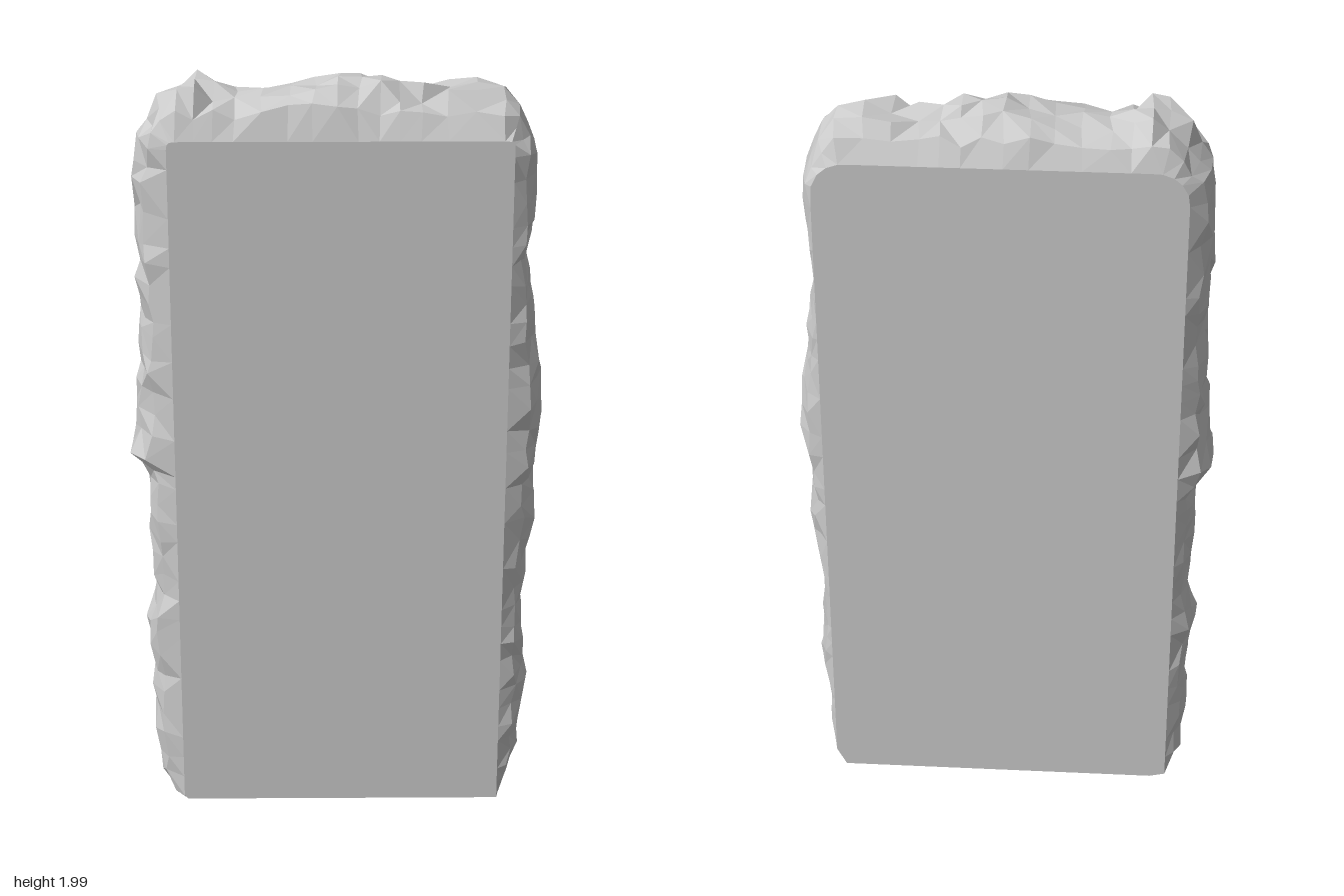
import * as THREE from 'three';

// Rough silhouette: up the -x side, over the top, down the +x side
const OUTLINE = [
  [-0.33, 0.03], [-0.40, 0.01], [-0.45, 0.04], [-0.48, 0.10], [-0.49, 0.22], [-0.485, 0.40], [-0.51, 0.52],
  [-0.475, 0.63], [-0.485, 0.80], [-0.49, 0.95], [-0.53, 1.02], [-0.51, 1.15], [-0.505, 1.30], [-0.495, 1.45],
  [-0.505, 1.60], [-0.505, 1.75], [-0.49, 1.85], [-0.44, 1.94], [-0.39, 1.98], [-0.30, 1.975], [-0.25, 1.96],
  [-0.12, 1.98], [0, 2.0], [0.10, 1.985], [0.20, 1.97], [0.33, 1.99], [0.40, 1.965], [0.44, 1.92], [0.48, 1.83],
  [0.48, 1.70], [0.465, 1.55], [0.485, 1.40], [0.50, 1.28], [0.52, 1.17], [0.51, 1.05], [0.50, 0.95],
  [0.505, 0.85], [0.485, 0.72], [0.48, 0.60], [0.485, 0.45], [0.495, 0.36], [0.475, 0.25], [0.475, 0.16],
  [0.455, 0.08], [0.43, 0.03],
];
const STEPS = [0, 0.1, 0.28, 0.5, 0.7, 0.9, 1]; // positions across the thickness, front to back
const BASE = 0.03;

let seed = 7;
const rand = () => {
  seed = (seed * 16807) % 2147483647;
  return seed / 2147483647 - 0.5;
};

// Nearest point on the dressed face's boundary, with rounded upper corners
function faceEdge([x, y], x0, x1, top, r) {
  const cx = THREE.MathUtils.clamp(x, x0 + r, x1 - r);
  const cy = THREE.MathUtils.clamp(y, BASE, top - r);
  const dx = x - cx, dy = y - cy;
  const k = Math.min(1, r / (Math.hypot(dx, dy) || 1));
  return [cx + dx * k, Math.max(BASE, cy + dy * k)];
}

// The two dressed faces are slightly tilted planes
const frontZ = (x, y) => 0.123 - 0.042 * x + 0.0136 * (y - 1.87);
const backZ = (x, y) => -0.132 + 0.007 * x + 0.004 * (y - 1);

// One cross-section from the front edge, round the bulge, to the back edge
function section(p) {
  const f = faceEdge(p, -0.41, 0.425, 1.87, 0.015);
  const b = faceEdge(p, -0.44, 0.455, 1.885, 0.08);
  const zf = frontZ(...f), zb = backZ(...b);
  const rough = p[1] > 0.07 ? 1 : 0;
  return STEPS.map((t) => {
    const bulge = Math.sqrt(Math.max(0, 1 - (2 * t - 1) ** 2));
    const n = rough * bulge;
    const x = THREE.MathUtils.lerp(f[0], b[0], t), y = THREE.MathUtils.lerp(f[1], b[1], t);
    const w = bulge * (1 + rough * rand() * 0.3 * (t === 0.5 ? 0.3 : 1));
    return [
      x + (p[0] - x) * w + n * rand() * 0.012,
      Math.min(2, y + (p[1] - y) * w + n * rand() * 0.03),
      THREE.MathUtils.lerp(zf, zb, t) + n * rand() * 0.035,
    ];
  });
}

function facetedMesh(name, triangles, material) {
  const geometry = new THREE.BufferGeometry();
  geometry.setAttribute('position', new THREE.Float32BufferAttribute(triangles.flat(2), 3));
  geometry.computeVertexNormals();
  const mesh = new THREE.Mesh(geometry, material);
  mesh.name = name;
  return mesh;
}

export function createModel() {
  const group = new THREE.Group();
  group.name = 'stoneSlab';
  const stone = new THREE.MeshStandardMaterial({ color: 0xcccccc, flatShading: true });

  // Subdivide the silhouette and build a section at every point
  const sections = [];
  OUTLINE.forEach((p, i) => {
    const q = OUTLINE[i + 1];
    const parts = q ? Math.ceil(Math.hypot(q[0] - p[0], q[1] - p[1]) / 0.075) : 1;
    for (let k = 0; k < parts; k++) {
      const t = k / parts;
      sections.push(section(q ? [p[0] + (q[0] - p[0]) * t, p[1] + (q[1] - p[1]) * t] : p));
    }
  });

  // Chipped rim; the last span closes the loop as the flat underside
  const rim = [], front = [], back = [], base = [];
  const last = STEPS.length - 1;
  const frontCentre = [0, 0.95, frontZ(0, 0.95)], backCentre = [0, 0.95, backZ(0, 0.95)];
  sections.forEach((s, i) => {
    const n = sections[(i + 1) % sections.length];
    const target = i === sections.length - 1 ? base : rim;
    for (let j = 0; j < last; j++) {
      const a = s[j], b = n[j], c = n[j + 1], d = s[j + 1];
      if (rand() > 0) target.push([a, b, d], [b, c, d]);
      else target.push([a, b, c], [a, c, d]);
    }
    // Flat dressed faces as fans
    front.push([frontCentre, n[0], s[0]]);
    back.push([backCentre, s[last], n[last]]);
  });

  group.add(
    facetedMesh('roughRim', rim, stone),
    facetedMesh('underside', base, stone),
    facetedMesh('frontFace', front, stone),
    facetedMesh('backFace', back, stone),
  );
  return group;
}
